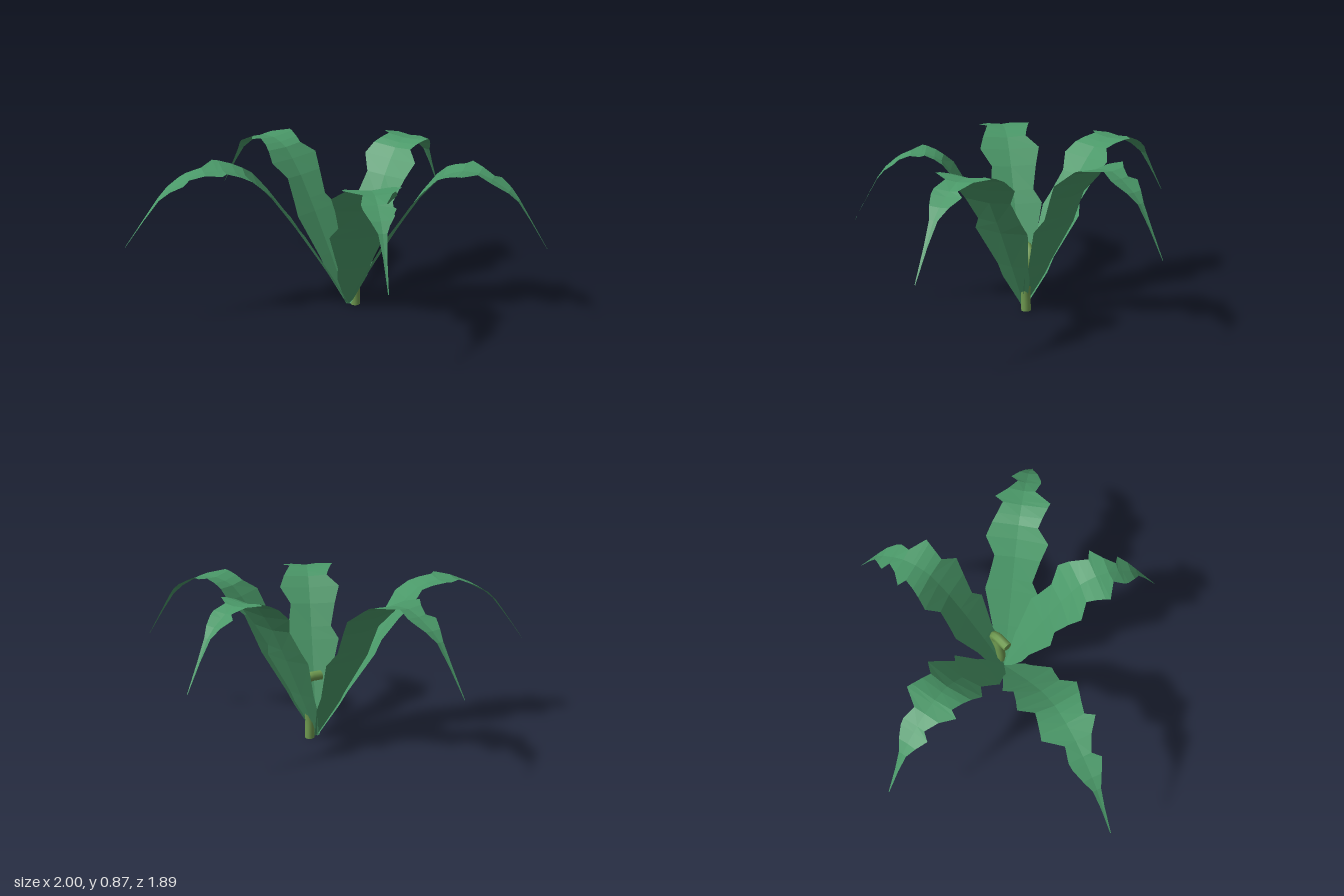
import * as THREE from 'three';

// Leaf rows: fraction of reach, height, half width on the left and on the right (teeth are staggered)
const ROWS = [
  [0, 0.01, 0.015, 0.015], [0.09, 0.2, 0.08, 0.08], [0.13, 0.28, 0.09, 0.085],
  [0.24, 0.5, 0.145, 0.15], [0.28, 0.565, 0.13, 0.11], [0.35, 0.685, 0.11, 0.14],
  [0.41, 0.77, 0.165, 0.17], [0.465, 0.825, 0.14, 0.105], [0.51, 0.848, 0.12, 0.12],
  [0.565, 0.865, 0.1, 0.14], [0.59, 0.868, 0.145, 0.15], [0.65, 0.86, 0.085, 0.06],
  [0.715, 0.832, 0.045, 0.08], [0.745, 0.815, 0.085, 0.075], [0.8, 0.778, 0.05, 0.05],
  [0.845, 0.73, 0.022, 0.022], [0.91, 0.63, 0.01, 0.01], [1, 0.485, 0.002, 0.002],
];

const ROOT = new THREE.Vector2(0.14, 0.08);

// Where each leaf tip ends, as x and z
const TIPS = [[-1, -0.305], [-0.05, -0.945], [1, -0.18], [0.75, 0.94], [-0.24, 0.885]];

// Arching toothed ribbon with a shallow fold along its midrib
function leafGeometry(tipX, tipZ) {
  const reach = new THREE.Vector2(tipX, tipZ).sub(ROOT);
  const dir = reach.clone().normalize();
  const positions = [];
  const index = [];
  ROWS.forEach(([s, y, left, right], i) => {
    const x = ROOT.x + reach.x * s;
    const z = ROOT.y + reach.y * s;
    // The midrib sinks along the normal of the arch
    const a = ROWS[Math.max(i - 1, 0)];
    const b = ROWS[Math.min(i + 1, ROWS.length - 1)];
    const slope = Math.atan2(b[1] - a[1], (b[0] - a[0]) * reach.length());
    for (const offset of [-left, 0, right]) {
      const sink = offset === 0 ? (left + right) * 0.05 : 0;
      const out = sink * Math.sin(slope);
      positions.push(
        x - dir.y * offset + dir.x * out,
        y - sink * Math.cos(slope),
        z + dir.x * offset + dir.y * out,
      );
    }
    if (i === 0) return;
    for (let k = 0; k < 2; k++) {
      const p = (i - 1) * 3 + k;
      const q = p + 3;
      index.push(p, p + 1, q, p + 1, q + 1, q);
    }
  });
  const geometry = new THREE.BufferGeometry();
  geometry.setAttribute('position', new THREE.Float32BufferAttribute(positions, 3));
  geometry.setIndex(index);
  const flat = geometry.toNonIndexed();
  flat.computeVertexNormals();
  return flat;
}

export function createModel() {
  const group = new THREE.Group();
  group.name = 'plant';

  const leafGreen = new THREE.MeshStandardMaterial({ color: 0x4a9868, side: THREE.DoubleSide });
  leafGreen.name = 'leaf green';
  const stemGreen = new THREE.MeshStandardMaterial({ color: 0x6f9a50 });
  stemGreen.name = 'stem green';

  // Five spreading leaves
  TIPS.forEach(([x, z], i) => {
    const leaf = new THREE.Mesh(leafGeometry(x, z), leafGreen);
    leaf.name = `leaf${i + 1}`;
    group.add(leaf);
  });

  // Short stem with a bent top
  const path = new THREE.CatmullRomCurve3([
    [0.18, 0, 0.09], [0.178, 0.12, 0.09], [0.195, 0.22, 0.09],
    [0.228, 0.3, 0.09], [0.195, 0.348, 0.085], [0.11, 0.355, 0.08],
  ].map((p) => new THREE.Vector3(...p)));
  const radius = 0.027;
  const stem = new THREE.Mesh(new THREE.TubeGeometry(path, 18, radius, 8), stemGreen);
  stem.name = 'stem';
  group.add(stem);

  // Caps close both ends of the stem
  for (const [t, sign] of [[0, -1], [1, 1]]) {
    const cap = new THREE.Mesh(new THREE.CircleGeometry(radius, 8), stemGreen);
    cap.name = sign < 0 ? 'stemBase' : 'stemEnd';
    cap.position.copy(path.getPointAt(t));
    cap.quaternion.setFromUnitVectors(new THREE.Vector3(0, 0, 1), path.getTangentAt(t).multiplyScalar(sign));
    group.add(cap);
  }

  return group;
}
